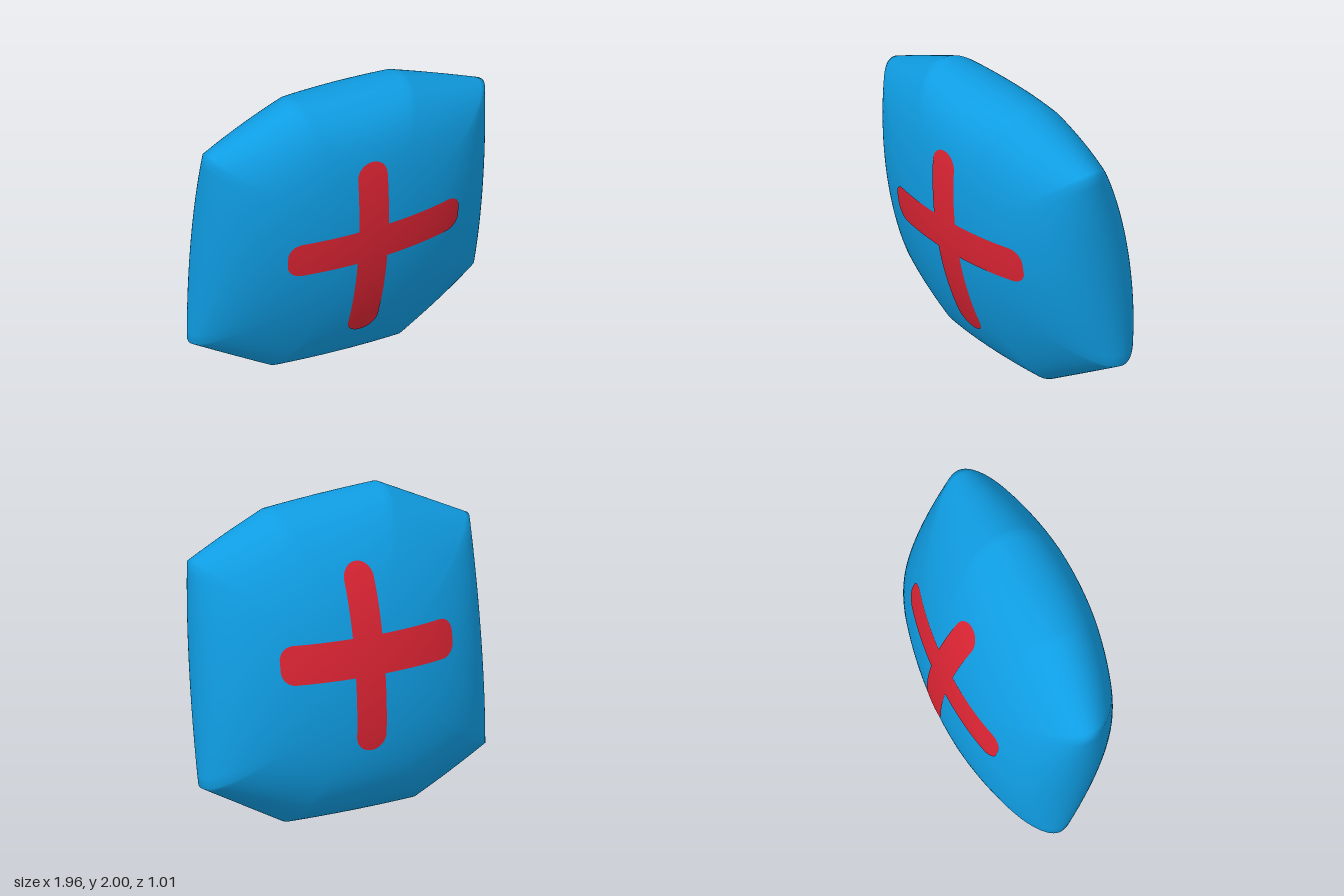
import * as THREE from 'three';

// Rim corners, counter-clockwise seen from the front (x, y, z)
const RIM = [
  [0.95, 1.74, 0.1], [0.37, 1.965, 0.14], [-0.41, 2, 0.17], [-0.98, 1.72, 0.11],
  [-0.98, 0.28, -0.1], [-0.47, 0.01, -0.07], [0.41, 0, -0.06], [0.98, 0.33, -0.11],
];
const CENTER_Y = 1;
const HALF_THICKNESS = 0.477;
const LEAN = 0.14;
const SOFT_RADIUS = 1.08;

// Fraction of the way from the centre to the rim, and the rim's z in that direction
function rimAt(x, y) {
  const py = y - CENTER_Y;
  let q = 0, z = 0;
  RIM.forEach((a, i) => {
    const b = RIM[(i + 1) % RIM.length];
    const ex = b[0] - a[0], ey = b[1] - a[1];
    const ay = a[1] - CENTER_Y;
    const g = (ey * x - ex * py) / (ey * a[0] - ex * ay);
    if (g > q) {
      q = g;
      const t = ((x / g - a[0]) * ex + (py / g - ay) * ey) / (ex * ex + ey * ey);
      z = a[2] + (b[2] - a[2]) * t;
    }
  });
  return { q, z };
}

// Height of the puffed surface: round in the middle, cornered at the rim
function surfaceZ(x, y, side) {
  const { q, z } = rimAt(x, y);
  const w = Math.min(1, q ** 4);
  const r2 = (x * x + (y - CENTER_Y) ** 2) / SOFT_RADIUS ** 2;
  const f = (1 - w) * r2 + w * q * q;
  const lean = LEAN * (y - CENTER_Y);
  return lean + w * (z - lean) + side * HALF_THICKNESS * Math.sqrt(Math.max(0, 1 - f));
}

// Smooth grid mesh from a point function
function gridGeometry(rows, cols, wrap, point, flip = false) {
  const pos = [], index = [];
  const n = wrap ? cols : cols + 1;
  for (let j = 0; j <= rows; j++) {
    for (let i = 0; i < n; i++) pos.push(...point(j, i));
  }
  for (let j = 0; j < rows; j++) {
    for (let i = 0; i < cols; i++) {
      const k = (i + 1) % n;
      const a = j * n + i, b = (j + 1) * n + i, c = (j + 1) * n + k, d = j * n + k;
      if (flip) index.push(a, c, b, a, d, c);
      else index.push(a, b, c, a, c, d);
    }
  }
  const g = new THREE.BufferGeometry();
  g.setAttribute('position', new THREE.Float32BufferAttribute(pos, 3));
  g.setIndex(index);
  g.computeVertexNormals();
  return g;
}

// Pillow body: rings run from the front centre over the rim to the back centre
function bodyGeometry() {
  const rows = 80, perEdge = 20;
  return gridGeometry(rows, RIM.length * perEdge, true, (j, i) => {
    const phi = 0.004 + (Math.PI - 0.008) * (j / rows);
    const q = j === rows / 2 ? 1 : Math.sin(phi);
    const a = RIM[Math.floor(i / perEdge)];
    const b = RIM[(Math.floor(i / perEdge) + 1) % RIM.length];
    const t = (i % perEdge) / perEdge;
    const x = q * (a[0] + (b[0] - a[0]) * t);
    const y = CENTER_Y + q * (a[1] + (b[1] - a[1]) * t - CENTER_Y);
    return [x, y, surfaceZ(x, y, j <= rows / 2 ? 1 : -1)];
  });
}

// Painted bar with rounded ends that follows the surface from start to end
function barGeometry(start, end, halfWidth, round, side) {
  const rows = 60, cols = 10;
  const dx = end[0] - start[0], dy = end[1] - start[1];
  const len = Math.hypot(dx, dy);
  return gridGeometry(rows, cols, false, (j, i) => {
    const t = (1 - Math.cos(Math.PI * j / rows)) / 2;
    const d = Math.min(t, 1 - t) * len;
    const inset = d < round ? round - Math.sqrt(Math.max(0, round ** 2 - (round - d) ** 2)) : 0;
    const v = (halfWidth - inset) * (2 * i / cols - 1);
    const x = start[0] + dx * t - dy / len * v;
    const y = start[1] + dy * t + dx / len * v;
    return [x, y, surfaceZ(x, y, side) + side * 0.005];
  }, side < 0);
}

export function createModel() {
  const blue = new THREE.MeshStandardMaterial({ color: 0x0f9de3 });
  blue.name = 'blue';
  const red = new THREE.MeshStandardMaterial({ color: 0xdc2433 });
  red.name = 'red';

  const model = new THREE.Group();
  model.name = 'pillow';
  const add = (name, geometry, material) => {
    const mesh = new THREE.Mesh(geometry, material);
    mesh.name = name;
    model.add(mesh);
  };

  add('pillowBody', bodyGeometry(), blue);

  // Front cross
  add('frontUpperBar', barGeometry([0.012, 0.3], [-0.018, 1.63], 0.102, 0.1, 1), red);
  add('frontCrossBar', barGeometry([-0.56, 1.015], [0.63, 1.052], 0.122, 0.09, 1), red);

  // Back cross
  add('backUprightBar', barGeometry([0, 0.54], [-0.018, 1.7], 0.102, 0.1, -1), red);
  add('backCrossBar', barGeometry([-0.63, 1.135], [0.57, 1.15], 0.122, 0.09, -1), red);

  return model;
}
